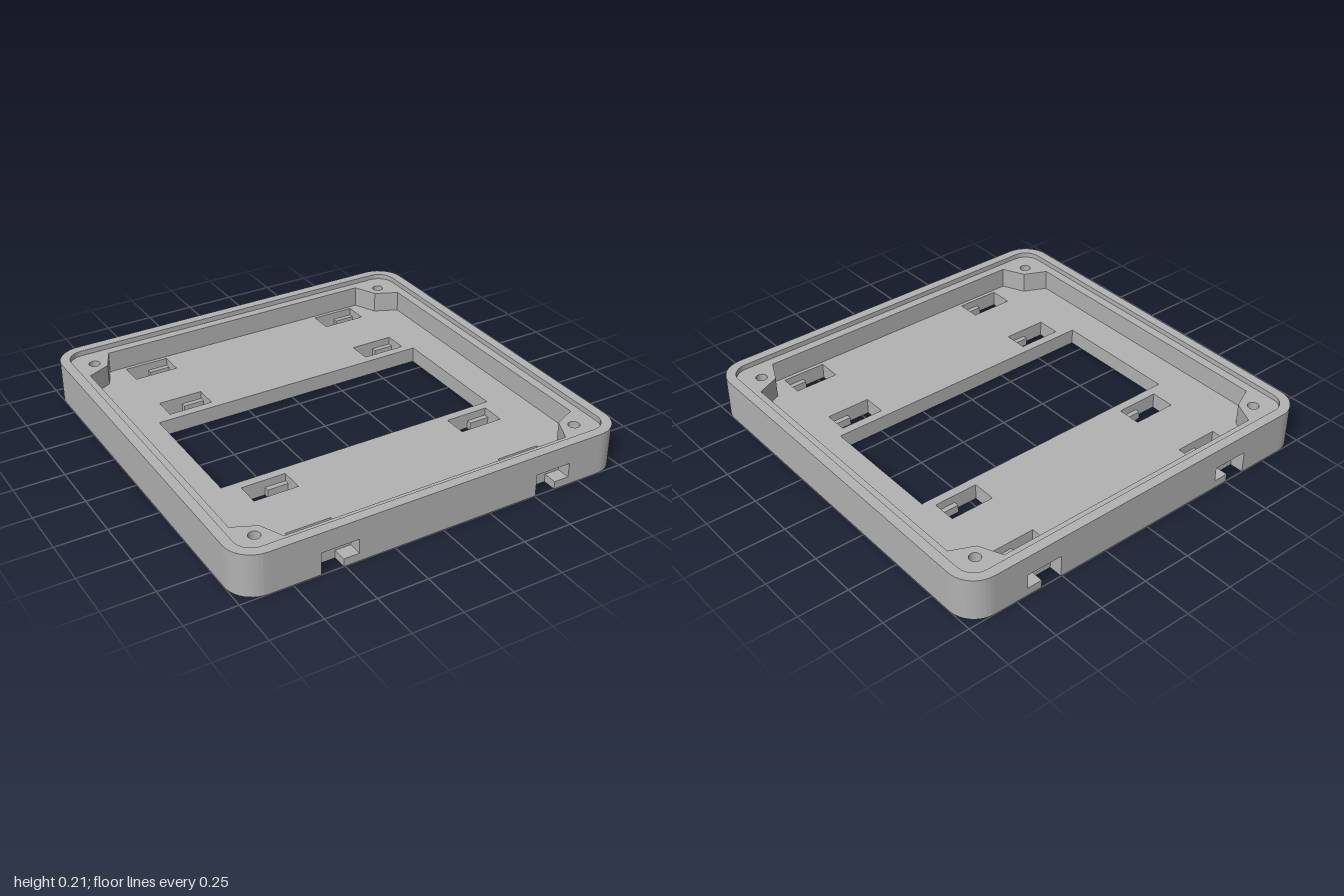
import * as THREE from 'three';

// Rounded square outline; each [a, b] span cuts a notch into the front and back edges
function outline(half, radius, spans = [], depth = 0.07) {
  const pts = [];
  const corner = (sx, sy, start) => {
    for (let i = 0; i <= 10; i++) {
      const t = start + (i / 10) * Math.PI / 2;
      pts.push(new THREE.Vector2(
        sx * (half - radius) + radius * Math.cos(t),
        sy * (half - radius) + radius * Math.sin(t)));
    }
  };
  const notch = (a, b, s) => {
    for (const [x, y] of [[a, half], [a, half - depth], [b, half - depth], [b, half]]) {
      pts.push(new THREE.Vector2(x, s * y));
    }
  };
  for (const [a, b] of spans) notch(a, b, -1);
  corner(1, -1, -Math.PI / 2);
  corner(1, 1, 0);
  for (const [a, b] of [...spans].reverse()) notch(b, a, 1);
  corner(-1, 1, Math.PI / 2);
  corner(-1, -1, Math.PI);
  return pts;
}

const polygon = (list) => list.map(([x, y]) => new THREE.Vector2(x, y));
const rect = (x0, x1, y0, y1) => polygon([[x0, y0], [x1, y0], [x1, y1], [x0, y1]]);

export function createModel() {
  const tray = new THREE.Group();
  tray.name = 'tray';
  const grey = new THREE.MeshStandardMaterial({ color: 0xb2b2b2 });
  grey.name = 'grey plastic';

  // Stack one horizontal layer between two heights
  const layer = (name, y0, y1, points, holes) => {
    const shape = new THREE.Shape(points);
    shape.holes = holes.map((h) => (h instanceof THREE.Path ? h : new THREE.Path(h)));
    const geo = new THREE.ExtrudeGeometry(shape, { depth: y1 - y0, bevelEnabled: false, curveSegments: 16 });
    geo.rotateX(-Math.PI / 2);
    geo.translate(0, y0, 0);
    const mesh = new THREE.Mesh(geo, grey);
    mesh.name = name;
    tray.add(mesh);
  };

  // Mounting slots: keyhole below, full rectangle above its ledges
  const windowHole = rect(-0.733, 0.733, -0.323, 0.323);
  const keyholes = [], recesses = [];
  for (const x of [-0.655, 0.465]) {
    for (const z of [-0.826, -0.428, 0.428, 0.826]) {
      const w = 0.06, n = 0.035, m = x + 0.12, e = x + 0.225;
      keyholes.push(polygon([
        [x, z - w], [m, z - w], [m, z - n], [e, z - n],
        [e, z + n], [m, z + n], [m, z + w], [x, z + w]]));
      recesses.push(rect(x, e, z - w, z + w));
    }
  }

  // Hook notches in the front and back walls, narrow at the bottom and wide above
  const narrow = [[-0.615, -0.507], [0.505, 0.613]];
  const wide = [[-0.615, -0.43], [0.505, 0.69]];

  // Inner cavity, leaving a solid screw boss in each corner
  const c = 0.905, k = 0.79, s = 0.737;
  const cavity = polygon([
    [-s, -c], [s, -c], [k, -k], [c, -s], [c, s], [k, k],
    [s, c], [-s, c], [-k, k], [-c, s], [-c, -s], [-k, -k]]);
  const screwHoles = [];
  for (const x of [-0.84, 0.84]) {
    for (const z of [-0.84, 0.84]) {
      screwHoles.push(new THREE.Path().absarc(x, z, 0.028, 0, Math.PI * 2));
    }
  }

  const R = 0.135;
  layer('lowerFloor', 0, 0.04, outline(1, R, narrow), [windowHole, ...keyholes]);
  layer('upperFloor', 0.04, 0.08, outline(1, R, wide), [windowHole, ...recesses]);
  layer('lowerWall', 0.08, 0.112, outline(1, R, wide), [cavity, ...screwHoles]);
  layer('upperWall', 0.112, 0.187, outline(1, R), [cavity, ...screwHoles]);
  layer('rimLip', 0.187, 0.213, outline(1, R), [outline(0.951, 0.086)]);
  return tray;
}
